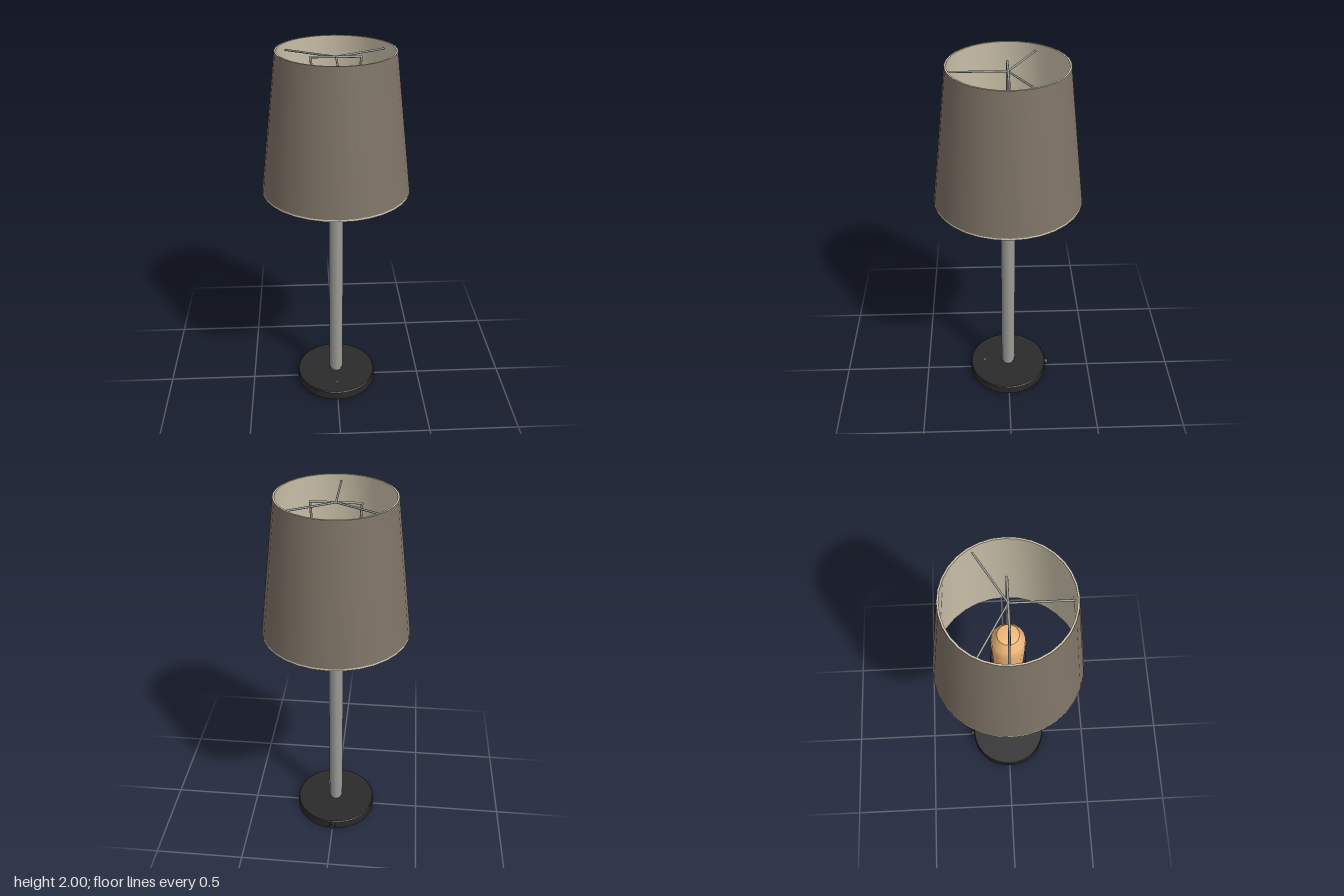
import * as THREE from 'three';
import { toCreasedNormals } from 'three/addons/utils/BufferGeometryUtils.js';

const mat = (color) => new THREE.MeshStandardMaterial({ color });

export function createModel() {
  const lamp = new THREE.Group();
  lamp.name = 'tableLamp';
  const black = mat(0x2a2a2a), metal = mat(0x9a9b96), fabric = mat(0x7d7265),
    lining = mat(0xd2c8b0), glow = mat(0xf2b878);

  const add = (name, geometry, material, parent = lamp) => {
    const mesh = new THREE.Mesh(geometry, material);
    mesh.name = name;
    parent.add(mesh);
    return mesh;
  };
  // Revolved profile of [radius, height] pairs with sharp corners kept
  const turned = (name, profile, material, sides = 32) => add(name, toCreasedNormals(
    new THREE.LatheGeometry(profile.map(([r, y]) => new THREE.Vector2(r, y)), sides), 0.5), material);
  // Straight wire between two points
  const rod = (name, from, to, radius, parent) => {
    const a = new THREE.Vector3(...from), b = new THREE.Vector3(...to);
    const mesh = add(name, new THREE.CylinderGeometry(radius, radius, a.distanceTo(b), 8), metal, parent);
    mesh.position.copy(a).lerp(b, 0.5);
    mesh.quaternion.setFromUnitVectors(new THREE.Vector3(0, 1, 0), b.sub(a).normalize());
    return mesh;
  };

  // Weighted base with a bevelled edge
  turned('base', [[0, 0], [0.227, 0], [0.231, 0.004], [0.231, 0.052], [0.226, 0.057], [0, 0.057]], black);

  // Cord outlet at the back, indicator stud at the front
  const outlet = add('cordOutlet', new THREE.CylinderGeometry(0.018, 0.018, 0.03, 12), black);
  outlet.rotation.x = Math.PI / 2;
  outlet.position.set(0, 0.033, -0.233);
  const stud = add('indicatorStud', new THREE.CylinderGeometry(0.006, 0.006, 0.01, 8), metal);
  stud.position.set(0, 0.056, 0.145);

  // Pole with a small neck at its foot
  turned('pole', [[0.034, 0.055], [0.034, 0.065], [0.039, 0.07], [0.039, 1.3]], metal, 24);

  // Socket and bulb
  turned('socket', [[0, 1.29], [0.086, 1.29], [0.09, 1.295], [0.09, 1.37], [0.086, 1.375], [0, 1.375]], black, 24);
  turned('bulb', [[0.078, 1.37], [0.08, 1.42], [0.085, 1.54], [0.082, 1.59], [0.053, 1.64], [0, 1.65]], glow, 16);

  // Harp: two legs and a bridge
  const harp = new THREE.Group();
  harp.name = 'harp';
  lamp.add(harp);
  const ringY = 1.965;
  for (const s of [-1, 1]) {
    rod('harpLeg', [s * 0.088, 1.34, 0], [s * 0.122, ringY, 0], 0.006, harp);
    const joint = add('harpCorner', new THREE.SphereGeometry(0.006, 8, 6), metal, harp);
    joint.position.set(s * 0.122, ringY, 0);
  }
  rod('harpBridge', [-0.122, ringY, 0], [0.122, ringY, 0], 0.006, harp);

  // Three spokes carrying the shade
  for (let i = 0; i < 3; i++) {
    const a = (i * Math.PI * 2) / 3;
    rod('spoke', [0, ringY, 0], [0.284 * Math.sin(a), ringY, 0.284 * Math.cos(a)], 0.005, lamp);
  }

  // Tapered shade: fabric outside, pale lining wrapped round both rims
  turned('shade', [[0.387, 1.282], [0.297, 2]], fabric);
  turned('shadeLining', [[0.297, 2], [0.288, 2], [0.379, 1.272], [0.388, 1.272], [0.387, 1.282]], lining);

  return lamp;
}
